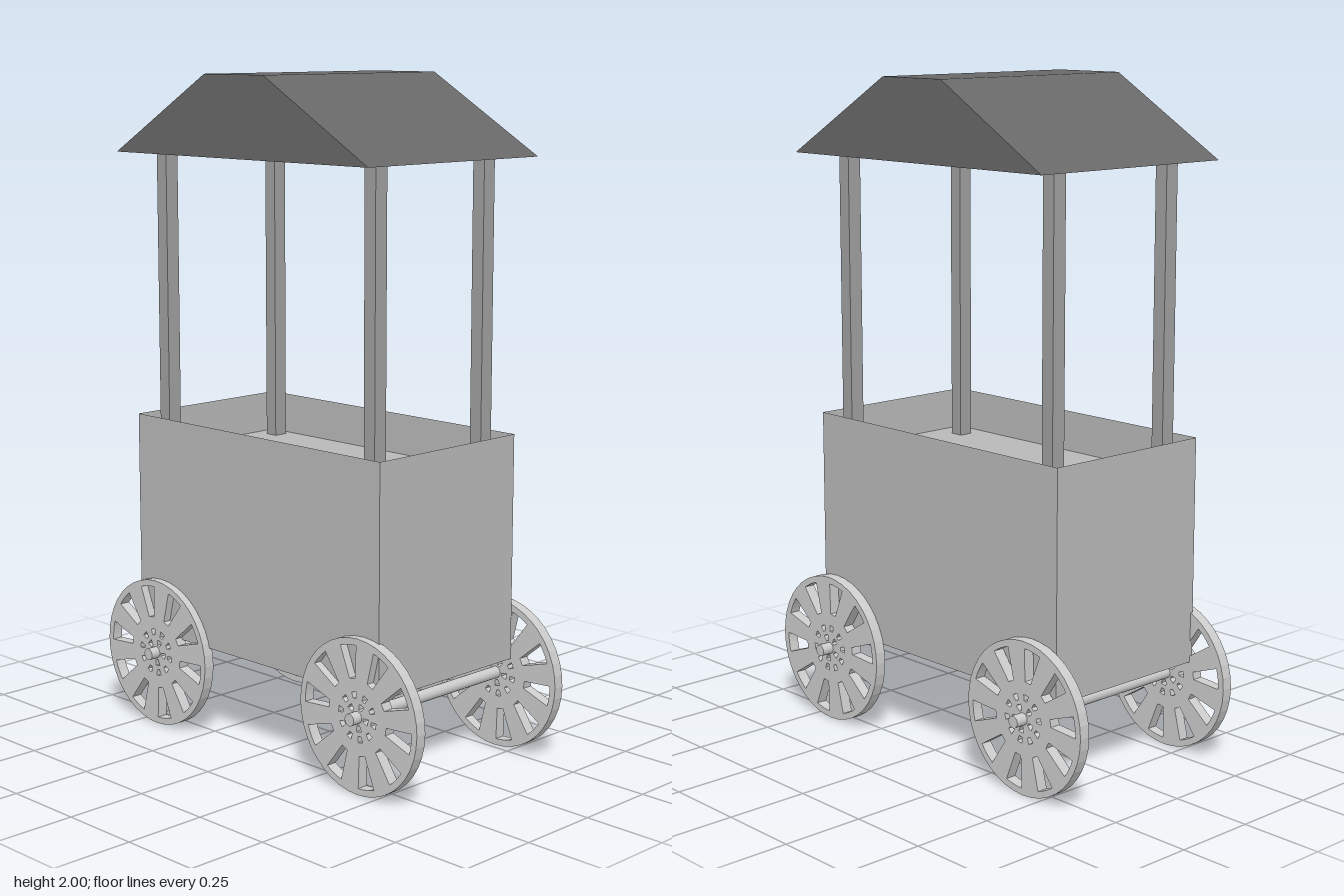
import * as THREE from 'three';

const mat = (color) => new THREE.MeshStandardMaterial({ color, side: THREE.DoubleSide, flatShading: true });
const smoothMat = () => new THREE.MeshStandardMaterial({ color: 0xcccccc });

// Box given by its limits; face (0..5 = +x -x +y -y +z -z) can be left open
function boxBetween([x0, x1], [y0, y1], [z0, z1], openFace = -1) {
  const g = new THREE.BoxGeometry(x1 - x0, y1 - y0, z1 - z0);
  g.translate((x0 + x1) / 2, (y0 + y1) / 2, (z0 + z1) / 2);
  if (openFace >= 0) {
    g.clearGroups();
    g.setIndex(Array.from(g.index.array).filter((_, i) => Math.floor(i / 6) !== openFace));
  }
  return g;
}

function addMesh(parent, name, geometry, material) {
  const m = new THREE.Mesh(geometry, material);
  m.name = name;
  parent.add(m);
  return m;
}

// Point in polar form, shifted sideways by s (for parallel or tapered edges)
const polar = (r, a) => new THREE.Vector2(r * Math.cos(a), r * Math.sin(a));

// Hole bounded by two radii, with a half angle at each
function radialHole(a, r0, half0, r1, half1) {
  const pts = [polar(r0, a - half0), polar(r0, a + half0)];
  for (let i = 0; i <= 4; i++) pts.push(polar(r1, a + half1 - (i / 4) * 2 * half1));
  return new THREE.Path(pts);
}

// Wheel plate: thin rim, ten broad spokes and a pierced hub
function wheelGeometry(radius, width) {
  const shape = new THREE.Shape();
  shape.absarc(0, 0, radius, 0, Math.PI * 2, false);
  const step = Math.PI / 5;
  const start = THREE.MathUtils.degToRad(80);
  for (let i = 0; i < 10; i++) {
    const a = start + i * step;
    shape.holes.push(radialHole(a, 0.112, 0.1, 0.208, 0.15));
    shape.holes.push(radialHole(a, 0.055, 0.1, 0.073, 0.13));
    if (i % 2) shape.holes.push(radialHole(a, 0.024, 0.2, 0.042, 0.24));
  }
  const g = new THREE.ExtrudeGeometry(shape, { depth: width, bevelEnabled: false, curveSegments: 20 });
  g.translate(0, 0, -width / 2);
  g.rotateY(Math.PI / 2);
  return g;
}

export function createModel() {
  const cart = new THREE.Group();
  cart.name = 'vendorCart';
  const bodyMat = mat(0xb8b8b8);
  const postMat = mat(0xa0a0a0);
  const roofMat = mat(0x686868);
  const metal = smoothMat();

  // Open-topped body with a sunken counter
  const bx = [-0.3, 0.265], bz = [-0.53, 0.495];
  addMesh(cart, 'body', boxBetween(bx, [0.285, 0.965], bz, 2), bodyMat);
  const counter = new THREE.PlaneGeometry(bx[1] - bx[0], bz[1] - bz[0]);
  counter.rotateX(-Math.PI / 2);
  counter.translate((bx[0] + bx[1]) / 2, 0.84, (bz[0] + bz[1]) / 2);
  addMesh(cart, 'counter', counter, bodyMat);

  // Four corner posts
  for (const x of [[-0.25, -0.205], [0.195, 0.24]])
    for (const z of [[-0.485, -0.443], [0.385, 0.427]])
      addMesh(cart, 'roofPost', boxBetween(x, [0.84, 1.78], z), postMat);

  // Hollow roof: a bottomless box narrowed at the top
  const roof = boxBetween([-0.35, 0.35], [1.765, 2], [-0.55, 0.495], 3);
  const p = roof.attributes.position;
  for (let i = 0; i < p.count; i++)
    if (p.getY(i) > 1.9) p.setZ(i, p.getZ(i) > 0 ? 0.09 : -0.154);
  roof.computeVertexNormals();
  addMesh(cart, 'roof', roof, roofMat);

  // Two axles, each with a pair of wheels
  const wheel = wheelGeometry(0.228, 0.034);
  const axle = new THREE.CylinderGeometry(0.018, 0.018, 0.697, 16);
  axle.rotateZ(Math.PI / 2);
  for (const z of [-0.435, 0.435]) {
    const set = new THREE.Group();
    set.name = z > 0 ? 'frontWheelSet' : 'rearWheelSet';
    set.position.set(-0.008, 0.23, z);
    addMesh(set, 'axle', axle, metal);
    for (const x of [-0.3, 0.293])
      addMesh(set, 'wheel', wheel, metal).position.x = x;
    cart.add(set);
  }
  return cart;
}
